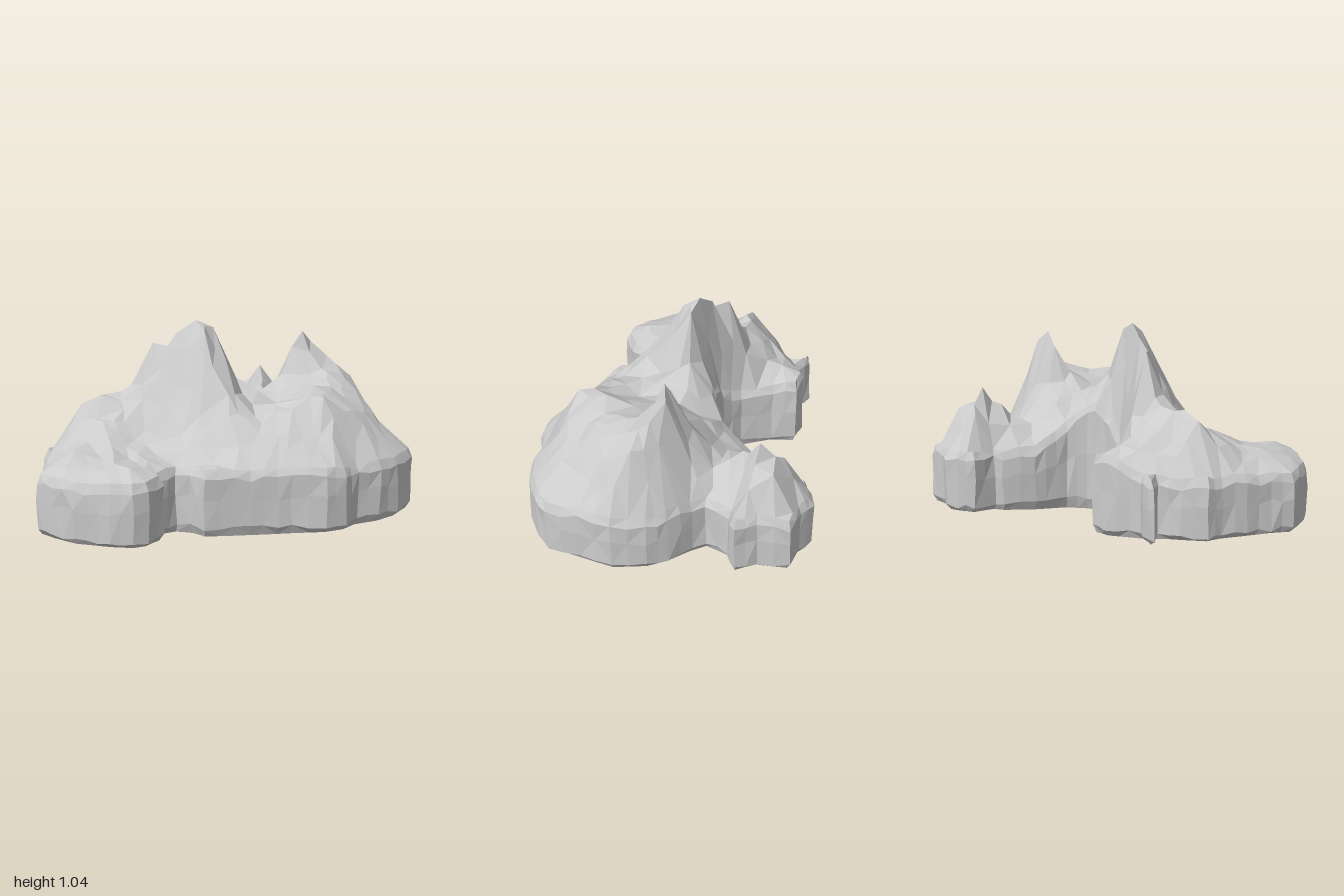
import * as THREE from 'three';

// plan outline (x, z), from the left tip round the back to the right and front
const OUTLINE = [
  -1, .36, -.95, .25, -.91, .12, -.87, 0, -.86, -.09, -.76, -.18, -.67, -.25, -.74, -.33, -.71, -.35, -.61, -.31,
  -.45, -.4, -.34, -.4, -.3, -.27, -.2, -.13, -.1, -.06, 0, -.06, .1, -.1, .17, -.18, .21, -.36, .28, -.52,
  .32, -.55, .31, -.68, .38, -.74, .44, -.77, .53, -.74, .66, -.73, .7, -.57, .78, -.48, .75, -.44, .69, -.41,
  .66, -.28, .72, -.23, .84, -.15, .92, -.07, 1, .09, 1, .45, .95, .53, .82, .64, .7, .69, .57, .7,
  .48, .76, .37, .77, .2, .72, 0, .68, -.23, .64, -.27, .55, -.33, .51, -.42, .55, -.44, .65, -.54, .74,
  -.62, .75, -.72, .7, -.87, .59, -.95, .47];

// key heights (x, z, y) of each landform
const LAND = {
  mainPeak: [-.08, .07, 1.04, .01, .08, 1, -.06, .15, .99, -.18, .04, .97, -.29, -.01, .92, -.4, -.04, .7, .1, .05, .75,
    -.05, .25, .82, 0, .35, .69, -.2, .2, .72, -.25, .35, .5, -.1, .5, .45, .1, .52, .52],
  saddle: [.2, .02, .66, .3, .02, .63, .15, .3, .62, .3, .25, .61, .3, .48, .62],
  sidePeak: [.42, .03, .72, .5, -.02, .86, .56, -.02, .94, .62, -.05, .88, .55, .1, .72, .7, 0, .8, .82, .05, .69,
    .9, .1, .53, .5, -.14, .66],
  frontHill: [.75, .25, .66, .6, .22, .71, .47, .35, .71, .45, .52, .68, .62, .5, .6, .8, .45, .5, .45, .64, .5],
  backPeak: [.45, -.28, .48, .47, -.4, .58, .5, -.5, .68, .42, -.6, .56, .58, -.6, .57, .65, -.5, .5],
  sideLobe: [-.4, .2, .5, -.4, .4, .42, -.58, 0, .66, -.68, 0, .62, -.55, .15, .55, -.55, -.15, .56, -.4, -.2, .52,
    -.78, .2, .46, -.82, .38, .44, -.62, .4, .45, -.6, .62, .42],
};

let seed = 7;
const rand = () => (seed = (seed * 16807) % 2147483647) / 2147483647;
const jitter = (a) => (rand() - 0.5) * 2 * a;
const bump = (x, z, cx, cz, r) => Math.exp(-((x - cx) ** 2 + (z - cz) ** 2) / (r * r));

// cliff top and underside heights
const rimY = (x, z) => 0.37 + 0.24 * bump(x, z, 0.06, -0.08, 0.2) + 0.08 * bump(x, z, -0.4, -0.4, 0.2);
const underY = (x, z) => 0.005 + 0.05 * Math.min(1, Math.hypot(x - 0.15, z - 0.1) / 0.9);

const cross = (a, b, c) => (b[0] - a[0]) * (c[1] - a[1]) - (b[1] - a[1]) * (c[0] - a[0]);

// Delaunay triangulation in plan; every triangle is wound to face up
function triangulate(points) {
  const n = points.length;
  const p = points.map(([x, z]) => [x + jitter(1e-5), z + jitter(1e-5)]);
  p.push([-30, -30], [30, -30], [0, 40]);
  const make = (a, b, c) => {
    if (cross(p[a], p[b], p[c]) > 0) [b, c] = [c, b];
    const [A, B, C] = [p[a], p[b], p[c]];
    const bx = B[0] - A[0], bz = B[1] - A[1], cx = C[0] - A[0], cz = C[1] - A[1];
    const d = 2 * (bx * cz - bz * cx), bb = bx * bx + bz * bz, cc = cx * cx + cz * cz;
    const ux = (cz * bb - bz * cc) / d, uz = (bx * cc - cx * bb) / d;
    return { v: [a, b, c], x: A[0] + ux, z: A[1] + uz, r: ux * ux + uz * uz };
  };
  let tris = [make(n, n + 1, n + 2)];
  for (let i = 0; i < n; i++) {
    const edges = new Map();
    tris = tris.filter((t) => {
      if ((p[i][0] - t.x) ** 2 + (p[i][1] - t.z) ** 2 >= t.r) return true;
      for (let k = 0; k < 3; k++) {
        const a = t.v[k], b = t.v[(k + 1) % 3];
        if (!edges.delete(b + '_' + a)) edges.set(a + '_' + b, [a, b]);
      }
      return false;
    });
    for (const [a, b] of edges.values()) tris.push(make(a, b, i));
  }
  return tris.map((t) => t.v).filter((v) => v.every((k) => k < n));
}

function inside([x, z], poly) {
  let hit = false;
  poly.forEach((a, i) => {
    const b = poly[(i + 1) % poly.length];
    if ((a[1] > z) !== (b[1] > z) && x < a[0] + ((z - a[1]) / (b[1] - a[1])) * (b[0] - a[0])) hit = !hit;
  });
  return hit;
}

// outline split into short edges
function splitOutline() {
  const out = [], n = OUTLINE.length;
  for (let i = 0; i < n; i += 2) {
    const [x, z, u, w] = [0, 1, 2, 3].map((k) => OUTLINE[(i + k) % n]);
    const steps = Math.ceil(Math.hypot(u - x, w - z) / 0.09);
    for (let s = 0; s < steps; s++) out.push([x + ((u - x) * s) / steps, z + ((w - z) * s) / steps]);
  }
  return out;
}

const inset = (poly, d) => poly.map(([x, z], i) => {
  const a = poly[(i + poly.length - 1) % poly.length], b = poly[(i + 1) % poly.length];
  const dx = b[0] - a[0], dz = b[1] - a[1], l = Math.hypot(dx, dz);
  return [x - (dz / l) * d, z + (dx / l) * d];
});

function facetMesh(name, corners) {
  const g = new THREE.BufferGeometry();
  g.setAttribute('position', new THREE.Float32BufferAttribute(corners.flat(), 3));
  g.computeVertexNormals();
  const mesh = new THREE.Mesh(g, new THREE.MeshStandardMaterial({ color: 0xcccccc, flatShading: true }));
  mesh.name = name;
  return mesh;
}

export function createModel() {
  const group = new THREE.Group();
  group.name = 'rockFormation';
  const outer = splitOutline(), rim = inset(outer, 0.022), n = rim.length;

  // coarse landform surface, sampled for height
  const keys = [];
  for (const list of Object.values(LAND)) {
    for (let i = 0; i < list.length; i += 3) keys.push(list.slice(i, i + 3));
  }
  const coarse = [...rim.map(([x, z]) => [x, z, rimY(x, z)]), ...keys];
  const coarseTris = triangulate(coarse).map((t) => t.map((k) => coarse[k]));
  const landY = (q) => {
    for (const [a, b, c] of coarseTris) {
      const area = cross(a, b, c);
      const u = cross(q, b, c) / area, v = cross(a, q, c) / area, w = 1 - u - v;
      if (u >= -1e-6 && v >= -1e-6 && w >= -1e-6) return u * a[2] + v * b[2] + w * c[2];
    }
    return rimY(q[0], q[1]);
  };

  // fine scatter: rim, key points and a jittered grid
  const top = rim.map(([x, z]) => [x, z, rimY(x, z) + jitter(0.012)]);
  const clear = (q, list, d) => list.every((r) => Math.hypot(q[0] - r[0], q[1] - r[1]) > d);
  for (const k of keys) if (inside(k, rim) && clear(k, rim, 0.045)) top.push(k);
  for (let x = -1; x < 1; x += 0.075) {
    for (let z = -0.8; z < 0.8; z += 0.075) {
      const q = [x + jitter(0.03), z + jitter(0.03)];
      if (inside(q, rim) && clear(q, top, 0.047)) top.push([...q, landY(q) + jitter(0.014)]);
    }
  }
  const tris = triangulate(top).filter((t) => {
    const c = [0, 1].map((k) => (top[t[0]][k] + top[t[1]][k] + top[t[2]][k]) / 3);
    return inside(c, rim);
  });
  const base = top.map(([x, z], i) => [x, underY(x, z) + (i < n ? 0 : jitter(0.005)), z]);
  group.add(facetMesh('rockTop', tris.flatMap((t) => t.map((k) => [top[k][0], top[k][2], top[k][1]]))));
  group.add(facetMesh('underside', tris.flatMap(([a, b, c]) => [base[a], base[c], base[b]])));

  // cliff wall: bevelled foot, upright face, bevelled lip
  const face = (f) => outer.map(([x, z], i) => [x + jitter(0.006), f(i) + jitter(0.012), z + jitter(0.006)]);
  const rings = [
    base.slice(0, n),
    face(() => 0.08),
    face((i) => 0.04 + top[i][2] * 0.5),
    face((i) => top[i][2] - 0.045),
    top.slice(0, n).map(([x, z, y]) => [x, y, z]),
  ];
  const wall = [];
  for (let r = 0; r < rings.length - 1; r++) {
    for (let i = 0; i < n; i++) {
      const j = (i + 1) % n;
      const a = rings[r][i], b = rings[r][j], c = rings[r + 1][j], d = rings[r + 1][i];
      if ((i + r) % 2) wall.push(a, c, b, a, d, c);
      else wall.push(a, d, b, b, d, c);
    }
  }
  group.add(facetMesh('cliffWall', wall));
  return group;
}
